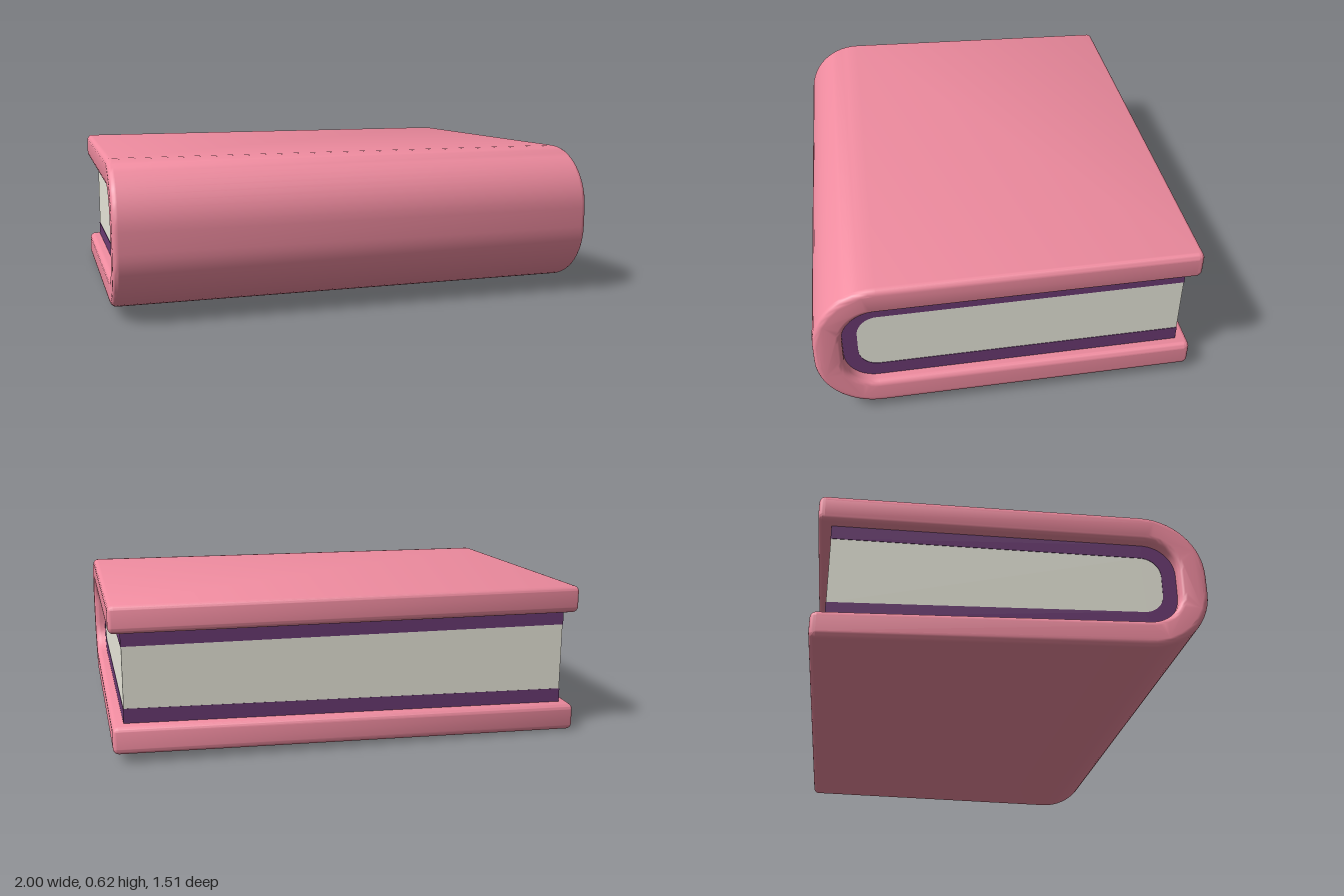
import * as THREE from 'three';
import { toCreasedNormals } from 'three/addons/utils/BufferGeometryUtils.js';

// Outline with every corner rounded; corners are [z, y, radius]
function roundedShape(corners) {
  const shape = new THREE.Shape();
  corners.forEach(([z, y, r], i) => {
    const n = corners.length;
    const toward = ([z2, y2]) => {
      const d = Math.hypot(z2 - z, y2 - y);
      return [z + ((z2 - z) * r) / d, y + ((y2 - y) * r) / d];
    };
    const a = toward(corners[(i + n - 1) % n]);
    const b = toward(corners[(i + 1) % n]);
    if (i === 0) shape.moveTo(...a);
    else shape.lineTo(...a);
    // Cubic approximation of a quarter circle
    const k = 0.5523;
    const mix = ([p, q]) => [p + (z - p) * k, q + (y - q) * k];
    if (r > 0) shape.bezierCurveTo(...mix(a), ...mix(b), ...b);
  });
  shape.closePath();
  return shape;
}

// U-shaped band that opens to the back (-z)
function bandShape({ front, back, top, bottom, thick, outerR, innerR, tipR }) {
  const t = thick;
  return roundedShape([
    [back, bottom, tipR], [front, bottom, outerR],
    [front, top, outerR], [back, top, tipR],
    [back, top - t, tipR], [front - t, top - t, innerR],
    [front - t, bottom + t, innerR], [back, bottom + t, tipR],
  ]);
}

// Extrude a side profile along x, narrow it to the back and let the lower board sag at one corner
function makePart(name, shape, color, inset, bevel) {
  const geo = new THREE.ExtrudeGeometry(shape, {
    depth: 2 - 2 * bevel, steps: 1, curveSegments: 14,
    bevelEnabled: bevel > 0, bevelSize: bevel, bevelThickness: bevel,
    bevelOffset: -bevel, bevelSegments: 5,
  });
  geo.translate(0, 0, -1 + bevel);
  geo.rotateY(-Math.PI / 2);
  const p = geo.attributes.position;
  for (let i = 0; i < p.count; i++) {
    const x = p.getX(i), y = p.getY(i), z = p.getZ(i);
    p.setX(i, x * (0.9775 + 0.03 * z - inset));
    if (y < 0.207) {
      const sag = 0.037 * ((1 - x) / 2) * Math.max(0, (0.5 - z) / 1.255);
      p.setY(i, y - sag);
    }
  }
  const mesh = new THREE.Mesh(
    toCreasedNormals(geo, 0.75),
    new THREE.MeshStandardMaterial({ color, roughness: 0.8 })
  );
  mesh.name = name;
  return mesh;
}

export function createModel() {
  const book = new THREE.Group();
  book.name = 'book';

  // Thick padded cover wrapping round the spine
  const cover = bandShape({
    front: 0.755, back: -0.755, top: 0.617, bottom: 0.037,
    thick: 0.111, outerR: 0.25, innerR: 0.13, tipR: 0.025,
  });
  book.add(makePart('cover', cover, 0xf08ca0, 0, 0.024));

  // Endpaper lining between cover and pages
  const lining = bandShape({
    front: 0.647, back: -0.703, top: 0.509, bottom: 0.146,
    thick: 0.06, outerR: 0.13, innerR: 0.08, tipR: 0,
  });
  book.add(makePart('lining', lining, 0x6a3a72, 0.046, 0));

  // Page block
  const pages = roundedShape([
    [-0.702, 0.204, 0], [0.589, 0.204, 0.08],
    [0.589, 0.451, 0.08], [-0.702, 0.451, 0],
  ]);
  const block = makePart('pages', pages, 0xe8e7da, 0.048, 0);
  book.add(block);

  return book;
}
